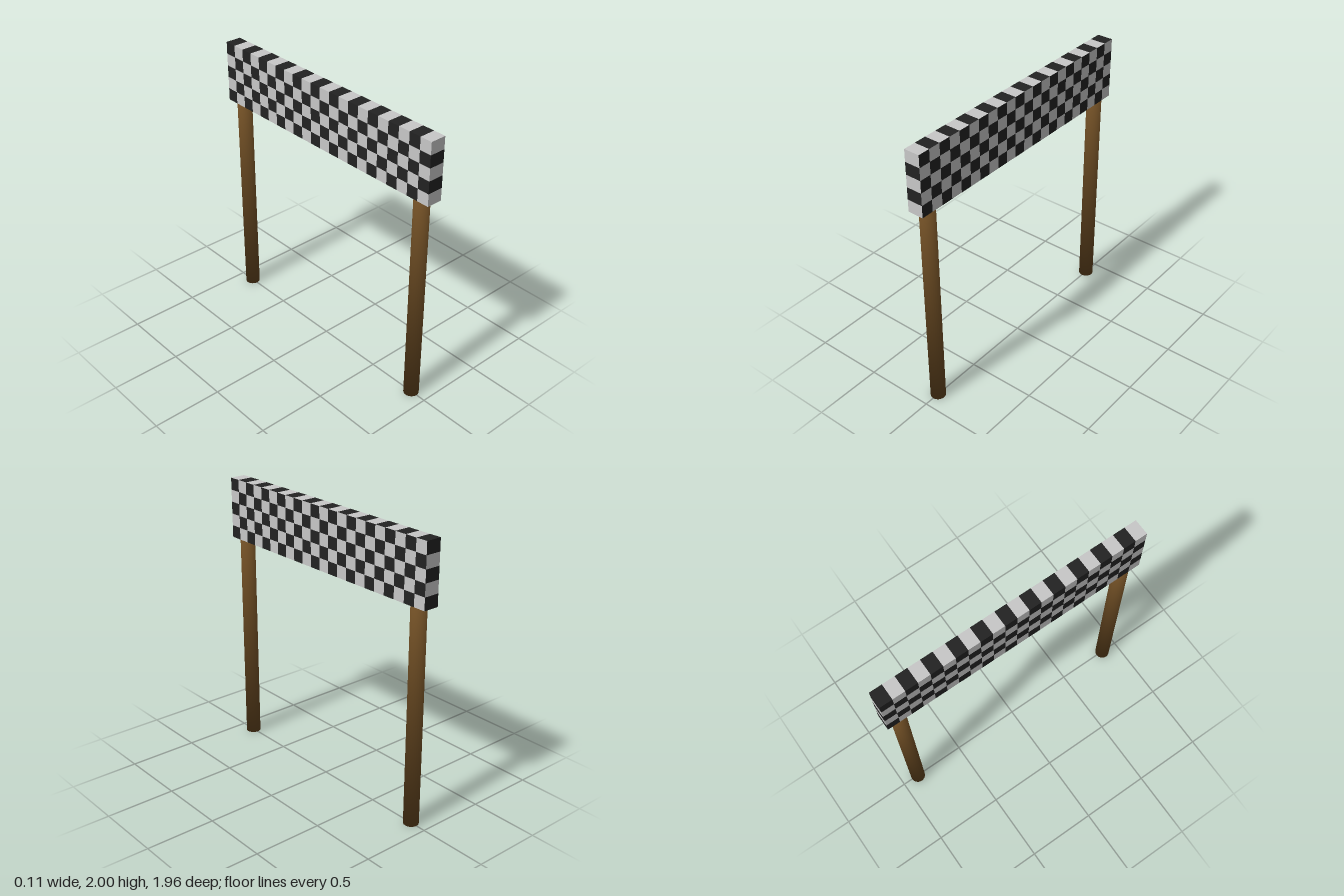
import * as THREE from 'three';

const material = (name, color) => {
  const m = new THREE.MeshStandardMaterial({ color });
  m.name = name;
  return m;
};

const COLS = 22, ROWS = 5;
const BASE = 1.56, TOP = 2, LENGTH = 1.956, DEPTH = 0.114;

// Box divided into squares, its faces sorted into a light and a dark group
function checkeredBox() {
  const geo = new THREE.BoxGeometry(DEPTH, TOP - BASE, LENGTH, 1, ROWS, COLS);
  const source = geo.index.array;
  // columns, rows and phase of the pattern on +x, -x, +y, -y, +z, -z
  const sides = [
    [COLS, ROWS, 0], [COLS, ROWS, 0],
    [1, COLS, 0], [1, COLS, 1],
    [1, ROWS, 1], [1, ROWS, 0],
  ];
  const sorted = [[], []];
  let at = 0;
  for (const [nx, ny, phase] of sides) {
    for (let iy = 0; iy < ny; iy++) {
      for (let ix = 0; ix < nx; ix++) {
        const dark = (ix + iy + phase) % 2 === 0 ? 1 : 0;
        sorted[dark].push(...source.slice(at, at + 6));
        at += 6;
      }
    }
  }
  geo.setIndex([...sorted[0], ...sorted[1]]);
  geo.clearGroups();
  geo.addGroup(0, sorted[0].length, 0);
  geo.addGroup(sorted[0].length, sorted[1].length, 1);
  return geo;
}

// Round post whose shading is smoothed over the rims
function postGeometry(radius, height) {
  const geo = new THREE.CylinderGeometry(radius, radius, height, 24);
  const { position, normal } = geo.attributes;
  const n = new THREE.Vector3();
  for (let i = 0; i < position.count; i++) {
    n.fromBufferAttribute(position, i);
    n.set(n.x / radius, Math.sign(n.y), n.z / radius).normalize();
    normal.setXYZ(i, n.x, n.y, n.z);
  }
  return geo;
}

export function createModel() {
  const model = new THREE.Group();
  model.name = 'finishGate';

  const light = material('lightGrey', 0xc8c8c8);
  const black = material('black', 0x222222);
  const wood = material('brownWood', 0x6a4a22);

  // Checkered beam
  const beam = new THREE.Mesh(checkeredBox(), [light, black]);
  beam.name = 'checkeredBeam';
  beam.position.y = (BASE + TOP) / 2;
  model.add(beam);

  // Two posts under the beam
  const geo = postGeometry(0.053, BASE);
  for (const side of [1, -1]) {
    const post = new THREE.Mesh(geo, wood);
    post.name = side > 0 ? 'frontPost' : 'backPost';
    post.position.set(0, BASE / 2, side * 0.876);
    model.add(post);
  }

  return model;
}
